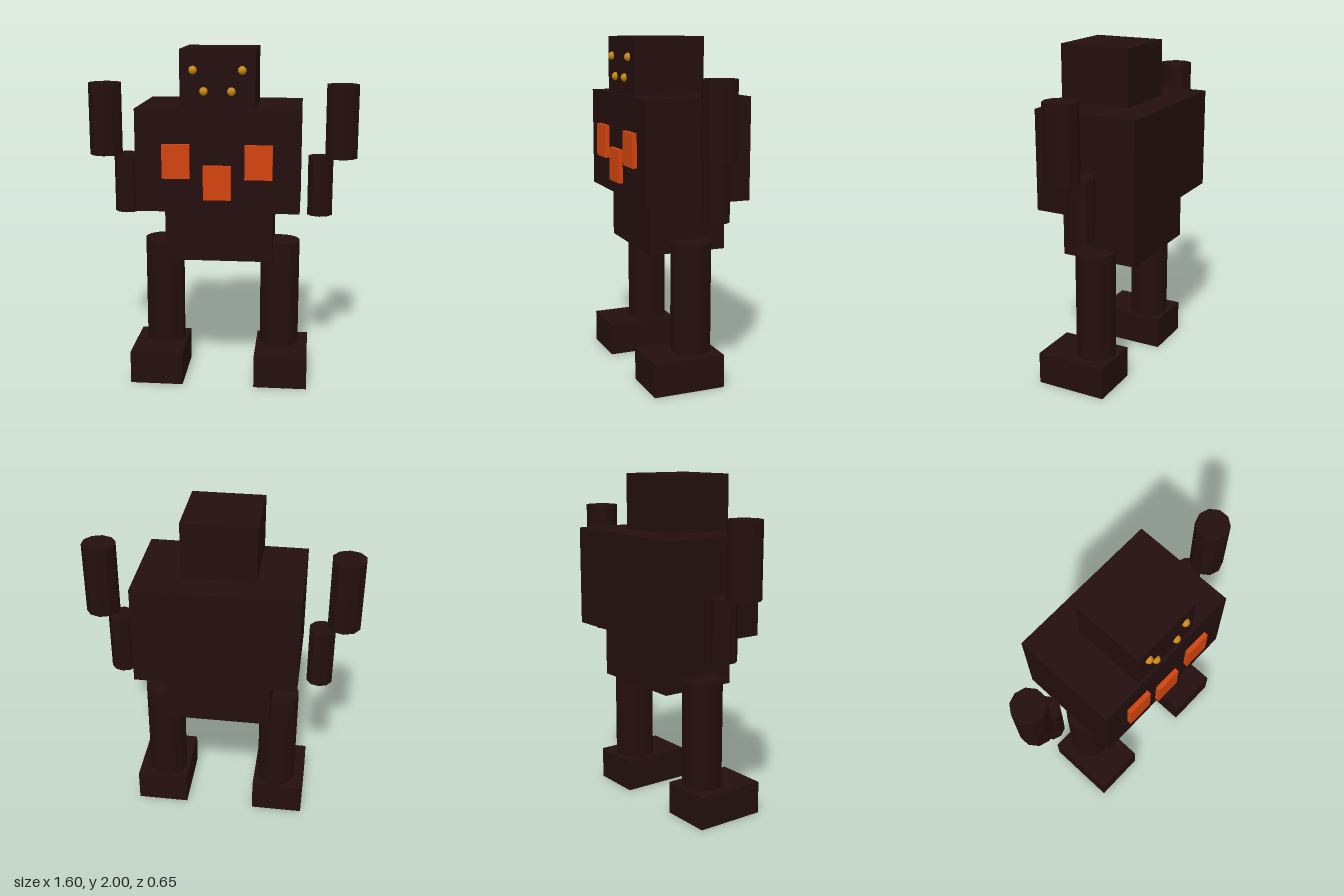
import * as THREE from 'three';

export function createModel() {
  const model = new THREE.Group();
  const mat = (name, color, flatShading = false) => {
    const m = new THREE.MeshStandardMaterial({ color });
    m.name = name;
    m.flatShading = flatShading;
    return m;
  };
  const dark = mat('darkBrown', 0x240e0e, true);
  const orange = mat('orange', 0xd2440f);
  const gold = mat('gold', 0xc98a12);

  const add = (name, geometry, material, x, y, z) => {
    const mesh = new THREE.Mesh(geometry, material);
    mesh.name = name;
    mesh.position.set(x, y, z);
    model.add(mesh);
  };
  // Box given by its minimum and maximum corners
  const box = (name, material, [x0, y0, z0], [x1, y1, z1]) =>
    add(name, new THREE.BoxGeometry(x1 - x0, y1 - y0, z1 - z0), material,
      (x0 + x1) / 2, (y0 + y1) / 2, (z0 + z1) / 2);
  // Upright cylinder between two heights
  const post = (name, r, sides, x, y0, y1, z) =>
    add(name, new THREE.CylinderGeometry(r, r, y1 - y0, sides), dark, x, (y0 + y1) / 2, z);

  // Head, torso and hips
  box('head', dark, [-0.213, 1.67, -0.15], [0.213, 2, 0.28]);
  box('torso', dark, [-0.47, 1.08, -0.325], [0.47, 1.67, 0.3]);
  box('hips', dark, [-0.313, 0.77, -0.245], [0.313, 1.08, 0.225]);

  // Limbs and face studs, mirrored
  for (const [side, s] of [['left', 1], ['right', -1]]) {
    post(side + 'UpperArm', 0.098, 10, s * 0.706, 1.355, 1.785, -0.017);
    post(side + 'LowerArm', 0.078, 10, s * 0.587, 1.0, 1.355, -0.057);
    post(side + 'Leg', 0.118, 20, s * 0.353, 0.195, 0.845, -0.013);
    add(side + 'Foot', new THREE.BoxGeometry(0.315, 0.195, 0.43), dark, s * 0.372, 0.0975, 0.066);
    const stud = new THREE.SphereGeometry(0.024, 10, 8);
    add(side + 'UpperStud', stud, gold, s * 0.138, 1.885, 0.282);
    add(side + 'LowerStud', stud, gold, s * 0.078, 1.768, 0.282);
  }

  // Chest panels
  for (const [name, x, y] of [['leftPanel', 0.235, 1.375], ['rightPanel', -0.235, 1.375], ['centrePanel', 0, 1.255]])
    box(name, orange, [x - 0.079, y - 0.098, 0.28], [x + 0.079, y + 0.098, 0.327]);

  return model;
}
